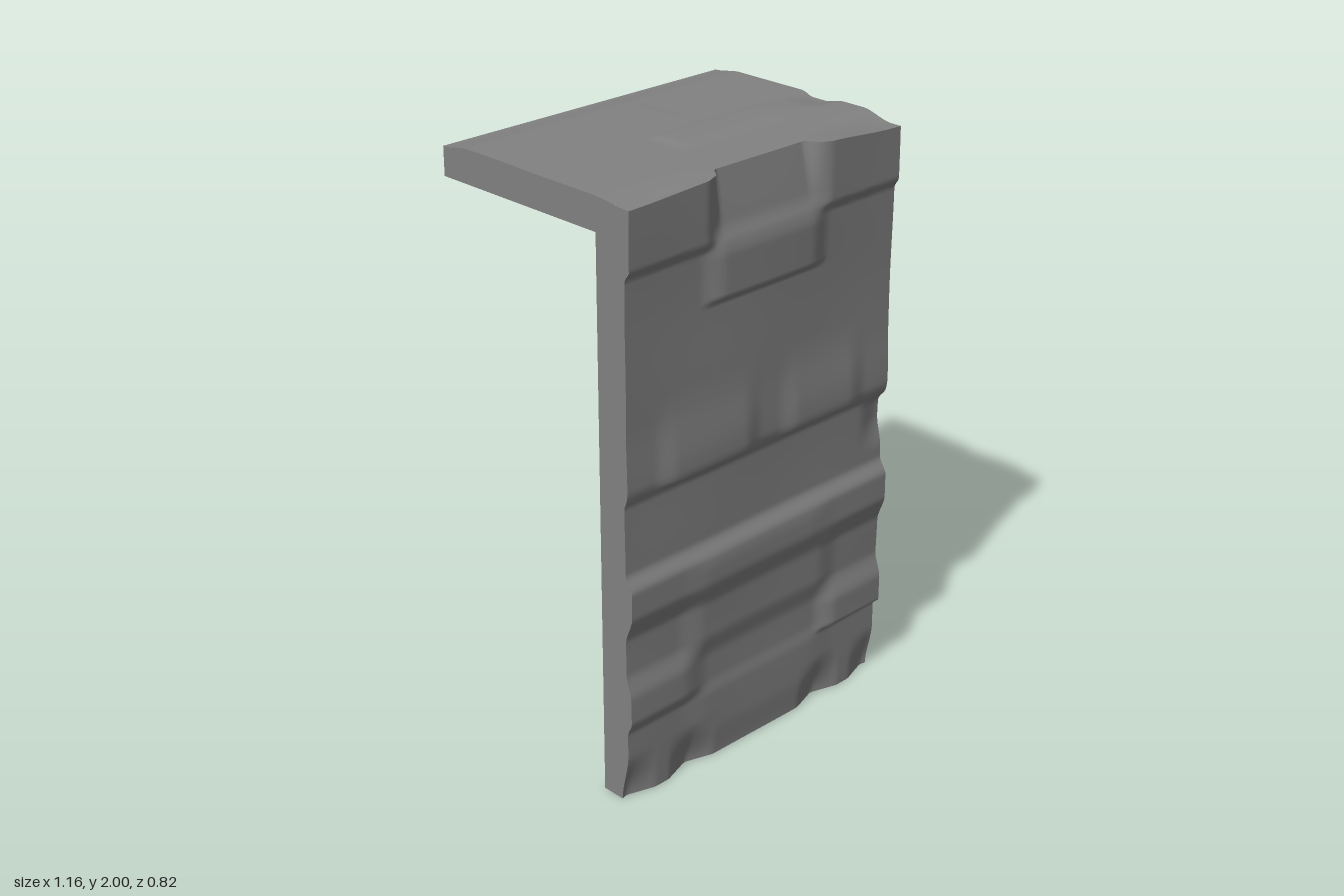
import * as THREE from 'three';

const W = 0.58, BACK = -0.41, RIM_Z = 0.265, RIM_Y = 1.885;
const material = new THREE.MeshStandardMaterial({ color: 0x828282, side: THREE.DoubleSide });
const step = THREE.MathUtils.smoothstep;

// Soft-edged block: 1 inside [a, b], fading over fa and fb outside it
const band = (t, a, b, fa, fb) => step(t, a - fa, a) * (1 - step(t, b, b + fb));

// Stones of the wall: x0, x1, y0, y1, height, side fade, lower fade, upper fade
const stones = [
  [-0.7, -0.27, 1.8, 2.2, 0.017, 0.06, 0.035, 0.1],
  [0.27, 0.7, 1.8, 2.2, 0.017, 0.06, 0.035, 0.1],
  [-0.18, 0.18, 1.61, 1.74, 0.018, 0.1, 0.012, 0.1],
  [-0.38, -0.1, 1.07, 1.12, 0.013, 0.09, 0.012, 0.25],
  [0.15, 0.38, 1.07, 1.12, 0.013, 0.09, 0.012, 0.25],
  [-0.7, 0.7, 1.07, 1.1, 0.006, 0.1, 0.03, 0.2],
  [-0.7, 0.7, 0.68, 0.76, 0.027, 0.1, 0.1, 0.06],
  [-0.24, 0.2, 0.69, 0.72, 0.006, 0.14, 0.1, 0.08],
  [-0.25, 0.26, 0.48, 0.58, 0.014, 0.12, 0.1, 0.1],
  [-0.7, -0.36, 0.3, 0.38, 0.018, 0.14, 0.05, 0.09],
  [0.36, 0.7, 0.275, 0.36, 0.024, 0.1, 0.02, 0.1],
  [-0.22, 0.24, 0.12, 0.24, 0.006, 0.14, 0.12, 0.06],
];

// Front face of the wall
function wallZ(x, y) {
  let z = 0.373 + 0.009 * step(y, 1.04, 1.1) + 0.003 * Math.sin(5 * x + 4 * y) * Math.cos(7 * y - 3 * x);
  for (const [x0, x1, y0, y1, h, f, lo, hi] of stones) {
    z += h * band(x, x0, x1, f, f) * band(y, y0, y1, lo, hi);
  }
  // middle of the top course leans back
  z -= 0.042 * band(x, -0.18, 0.19, 0.04, 0.04) * Math.max(0, (y - 1.79) / 0.21);
  // chipped spots along the foot and a worn right edge
  for (const cx of [-0.56, -0.3, 0.3, 0.56]) {
    z -= 0.032 * Math.max(0, 1 - Math.abs(x - cx) / 0.1) * (1 - step(y, 0, 0.17));
  }
  return z - 0.02 * step(x, 0.46, 0.58) * band(y, 0.97, 1.02, 0.12, 0.04);
}

// Upper face of the roof slab
function roofY(x, z) {
  let y = 1.994 - 0.014 * (1 - step(z, -0.41, -0.3));
  y += 0.005 * band(x, -0.08, 0.3, 0.05, 0.2) * band(z, 0.03, 0.08, 0.06, 0.1);
  y += 0.002 * (1 - step(x, 0.08, 0.12)) * band(z, -0.25, -0.1, 0.1, 0.1);
  y -= 0.026 * step(x, 0.2, 0.58) * step(z, 0.24, 0.36);
  y -= 0.012 * (1 - step(x, -0.58, -0.15)) * step(z, 0.26, 0.4);
  return y - 0.014 * step(x, 0.44, 0.58) * band(z, 0.03, 0.08, 0.05, 0.08);
}

const wallPoint = (x, v) => {
  const y = v * roofY(x, 0.39);
  return [x, y, wallZ(x, y)];
};
const roofPoint = (x, v) => {
  const z = BACK + v * (wallPoint(x, 1)[2] - BACK);
  return [x, THREE.MathUtils.lerp(roofY(x, z), roofY(x, 0.39), step(v, 0.97, 1)), z];
};

// Smooth sheet over a u, v grid
function sheet(name, nu, nv, point) {
  const pos = [], index = [];
  for (let j = 0; j <= nv; j++) {
    for (let i = 0; i <= nu; i++) {
      pos.push(...point(i / nu, j / nv));
      if (i < nu && j < nv) {
        const a = j * (nu + 1) + i, c = a + nu + 1;
        index.push(a, a + 1, c + 1, a, c + 1, c);
      }
    }
  }
  const geometry = new THREE.BufferGeometry();
  geometry.setAttribute('position', new THREE.Float32BufferAttribute(pos, 3));
  geometry.setIndex(index);
  geometry.computeVertexNormals();
  const mesh = new THREE.Mesh(geometry, material);
  mesh.name = name;
  return mesh;
}

export function createModel() {
  const group = new THREE.Group();
  group.name = 'stoneCornerPanel';
  const toX = (u) => (u * 2 - 1) * W;
  const mix = THREE.MathUtils.lerp;

  // Stone faces, open behind and below
  group.add(sheet('wallFace', 90, 200, (u, v) => wallPoint(toX(u), v)));
  group.add(sheet('roofFace', 90, 90, (u, v) => roofPoint(toX(u), 1 - v)));

  // Side rims of wall and roof, meeting under the roof's edge
  for (const s of [-1, 1]) {
    const side = s > 0 ? 'left' : 'right';
    const flip = (u) => (s > 0 ? u : 1 - u);
    const front = wallPoint(s * W, 1)[2];
    const edgeY = (z) => roofPoint(s * W, Math.min(1, (z - BACK) / (front - BACK)))[1];
    group.add(sheet(side + 'WallRim', 16, 200, (u, v) => {
      const [x, y, frontZ] = wallPoint(s * W, v);
      const z = mix(frontZ, RIM_Z, flip(u));
      return [x, mix(y, edgeY(z), step(v, 0.9, 1)), z];
    }));
    group.add(sheet(side + 'RoofRim', 1, 90, (u, v) => {
      const z = mix(RIM_Z, BACK, v);
      return [s * W, mix(RIM_Y, edgeY(z), flip(1 - u)), z];
    }));
  }

  // Rims at the foot of the wall and the back of the roof
  group.add(sheet('footRim', 90, 1, (u, v) => {
    const [x, y, z] = wallPoint(toX(u), 0);
    return [x, y, mix(RIM_Z, z, v)];
  }));
  group.add(sheet('roofBackRim', 90, 1, (u, v) => {
    const [x, y, z] = roofPoint(toX(u), 0);
    return [x, mix(y, RIM_Y, v), z];
  }));
  return group;
}
